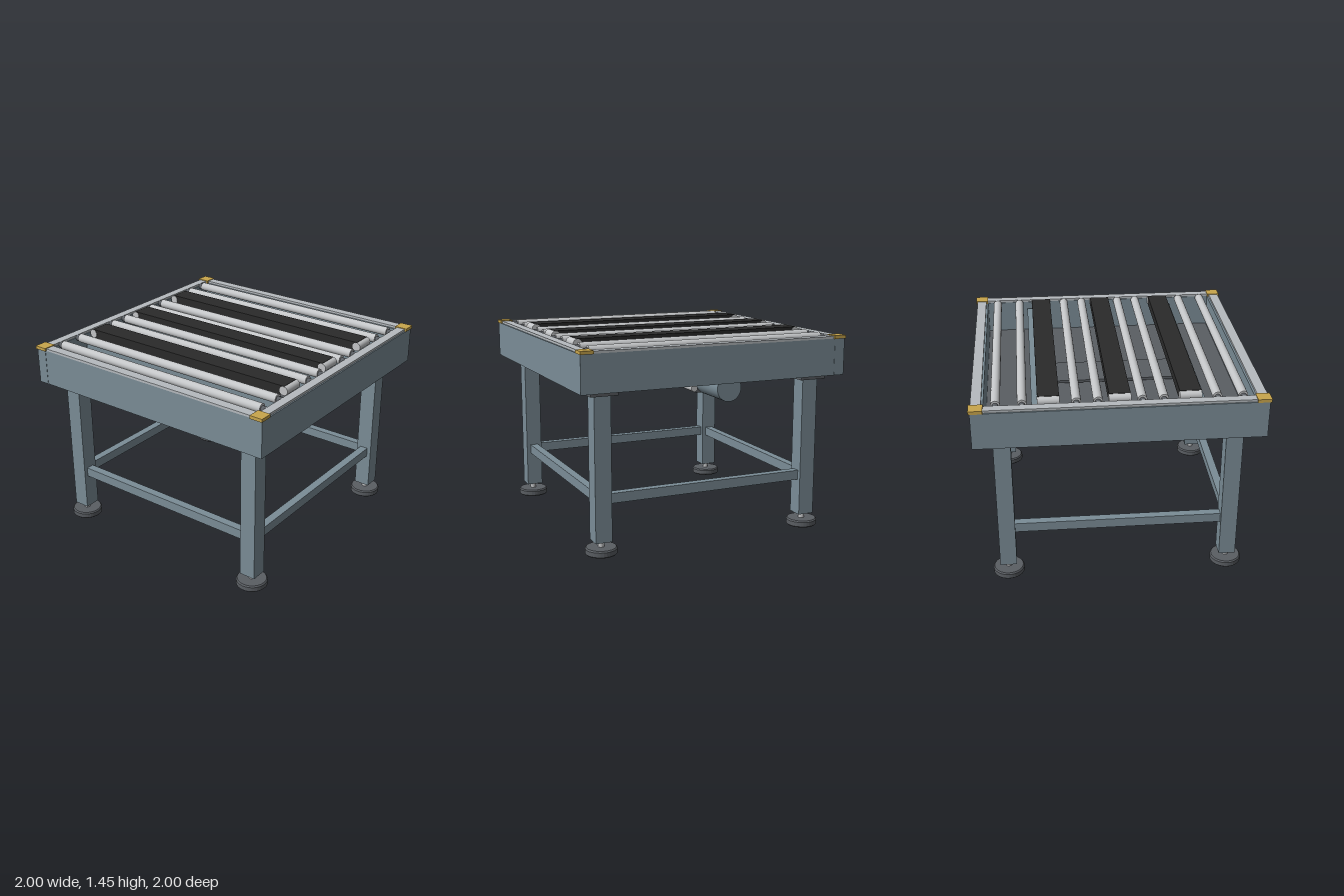
import * as THREE from 'three';

const mat = (name, color) => Object.assign(new THREE.MeshStandardMaterial({ color }), { name });

export function createModel() {
  const paint = mat('blue grey paint', 0x7b8d97);
  const dark = mat('dark grey metal', 0x5a5e63);
  const steel = mat('bright steel', 0xc4c6c8);
  const trim = mat('rim aluminium', 0xb6bbbf);
  const gold = mat('yellow corner', 0xc9a64c);
  const rubber = mat('black belt', 0x2a2a2a);

  const model = new THREE.Group();
  model.name = 'conveyorTable';

  const add = (name, geo, material, x, y, z, parent = model) => {
    const mesh = new THREE.Mesh(geo, material);
    mesh.name = name;
    mesh.position.set(x, y, z);
    parent.add(mesh);
    return mesh;
  };
  // Box given by its width, depth and bottom/top heights
  const box = (name, m, x, z, w, d, y0, y1, parent) =>
    add(name, new THREE.BoxGeometry(w, y1 - y0, d), m, x, (y0 + y1) / 2, z, parent);
  // Cylinder along 'x', 'y' or 'z'
  const rod = (name, m, axis, r, length, x, y, z, parent) => {
    const geo = new THREE.CylinderGeometry(r, r, length, 32);
    if (axis === 'x') geo.rotateZ(Math.PI / 2);
    if (axis === 'z') geo.rotateX(Math.PI / 2);
    return add(name, geo, m, x, y, z, parent);
  };

  // Perimeter frame with bright rim strips
  for (const s of [-1, 1]) {
    box('crossBeam', paint, 0, s * 0.955, 1.98, 0.08, 1.147, 1.41);
    box('sideBeam', paint, s * 0.946, 0, 0.084, 1.83, 1.147, 1.41);
    box('crossRim', trim, 0, s * 0.953, 1.96, 0.065, 1.41, 1.427);
    box('sideRim', trim, s * 0.953, 0, 0.07, 1.85, 1.41, 1.427);
  }
  box('floorPan', dark, 0, 0, 1.83, 1.84, 1.15, 1.17);
  box('centrePlate', dark, 0, 0, 1.05, 0.31, 1.19, 1.21);

  // Corners, legs and feet
  const footProfile = [[0, 0], [0.105, 0], [0.112, 0.007], [0.112, 0.04], [0.104, 0.05], [0, 0.05]]
    .map(([r, y]) => new THREE.Vector2(r, y));
  const footGeo = new THREE.LatheGeometry(footProfile, 32).toNonIndexed();
  footGeo.computeVertexNormals();
  for (const sx of [-1, 1]) for (const sz of [-1, 1]) {
    box('cornerCap', gold, sx * 0.9525, sz * 0.9525, 0.095, 0.095, 1.409, 1.432);
    const leg = new THREE.Group();
    leg.name = 'leg';
    leg.position.set(sx * 0.8, 0, sz * 0.8);
    model.add(leg);
    box('legPost', paint, 0, 0, 0.12, 0.12, 0.092, 1.11, leg);
    box('mountPlate', dark, 0, 0, 0.195, 0.195, 1.11, 1.149, leg);
    rod('footStem', steel, 'y', 0.022, 0.06, 0, 0.07, 0, leg);
    add('footPad', footGeo, dark, 0, 0, 0, leg);
  }

  // Stretchers between the legs
  for (const s of [-1, 1]) {
    box('crossStretcher', paint, 0, s * 0.8, 1.48, 0.06, 0.355, 0.425);
    box('sideStretcher', paint, s * 0.8, 0, 0.06, 1.48, 0.355, 0.425);
  }

  // Rollers with dark end bearings
  for (const x of [-0.83, -0.655, -0.295, -0.15, 0.145, 0.29, 0.65, 0.825]) {
    rod('roller', steel, 'z', 0.032, 1.77, x, 1.41, 0);
    for (const s of [-1, 1]) rod('rollerBearing', dark, 'z', 0.022, 0.04, x, 1.405, s * 0.902);
  }

  // Belt strips, their end pulleys and the rails beneath
  for (const x of [-0.475, 0, 0.475]) {
    box('belt', rubber, x, 0, 0.146, 1.72, 1.385, 1.451);
    for (const s of [-1, 1]) rod('beltPulley', steel, 'x', 0.032, 0.15, x, 1.417, s * 0.858);
  }
  for (const x of [-0.555, 0, 0.555]) box('beltRail', paint, x, 0, 0.064, 1.8, 1.17, 1.36);

  // Drive unit below the deck
  box('gearbox', dark, 0.212, -0.263, 0.155, 0.195, 0.957, 1.15);
  rod('motor', paint, 'x', 0.097, 0.35, 0.46, 1.04, -0.263);
  box('terminalBox', dark, 0.477, -0.263, 0.115, 0.11, 1.12, 1.15);
  rod('driveShaft', steel, 'x', 0.025, 1.2, 0, 1.055, 0);

  return model;
}
